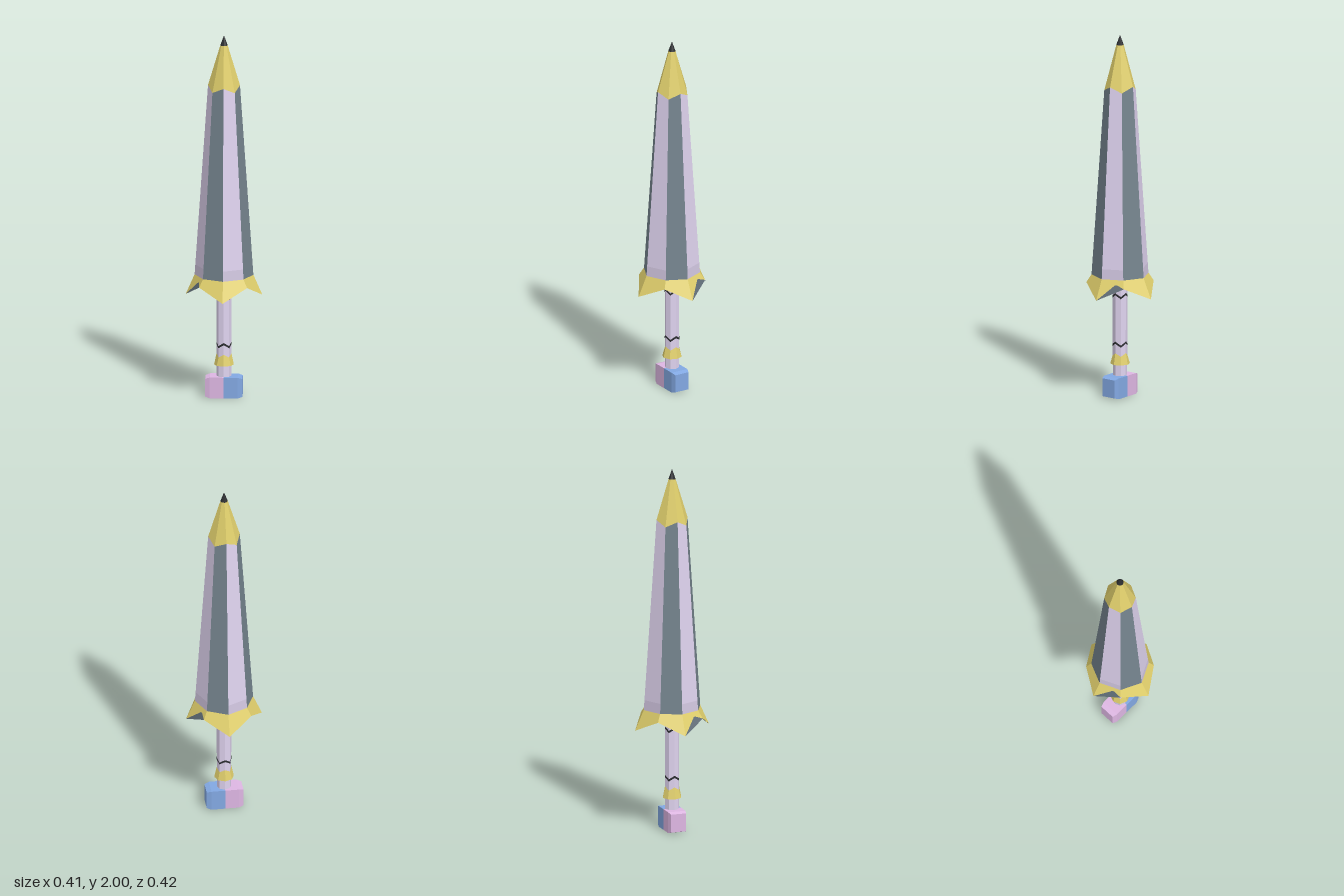
import * as THREE from 'three';

const COLORS = {
  lilac: 0xdfd3ef, lilacShade: 0xd2c7e1, slate: 0x75848e, lining: 0x5c6972, gold: 0xe0cf6c,
  black: 0x2b2d30, blue: 0x82a8e2, pink: 0xddb6e2,
};
const SIDES = 8;

function material(color, side = THREE.FrontSide) {
  return new THREE.MeshStandardMaterial({ color: COLORS[color], side });
}

// Eight-sided ring; diagonal corners and the front and back corners may differ
function ring(r, y, diagR = r, diagY = y, frontR = r) {
  return Array.from({ length: SIDES }, (_, i) => {
    const a = (i * Math.PI * 2) / SIDES;
    const rad = i % 2 ? diagR : i % 4 ? r : frontR;
    return new THREE.Vector3(Math.sin(a) * rad, i % 2 ? diagY : y, Math.cos(a) * rad);
  });
}

// Skin through a stack of rings with one flat normal per panel: bottom to top
// faces outward, top to bottom faces inward; "keep" picks the panels
function skin(rings, keep = () => true) {
  const pos = [], nor = [];
  for (let k = 0; k < rings.length - 1; k++) {
    for (let i = 0; i < SIDES; i++) {
      if (!keep(i)) continue;
      const j = (i + 1) % SIDES;
      const [a, b, c, d] = [rings[k][i], rings[k][j], rings[k + 1][j], rings[k + 1][i]];
      const n = c.clone().sub(a).cross(d.clone().sub(b)).normalize();
      for (const v of [a, b, c, a, c, d]) {
        pos.push(...v);
        nor.push(...n);
      }
    }
  }
  const g = new THREE.BufferGeometry();
  g.setAttribute('position', new THREE.Float32BufferAttribute(pos, 3));
  g.setAttribute('normal', new THREE.Float32BufferAttribute(nor, 3));
  return g;
}

function add(parent, name, geometry, mat) {
  const mesh = new THREE.Mesh(geometry, mat);
  mesh.name = name;
  parent.add(mesh);
}

function buildCanopy() {
  const canopy = new THREE.Group();
  canopy.name = 'foldedCanopy';
  const rim = ring(0.206, 0.565, 0.182, 0.633, 0.212);
  const hem = ring(0.158, 0.675, 0.154, 0.675, 0.162);
  const band = ring(0.1543, 0.73, 0.1503, 0.73, 0.1582);
  const shoulder = ring(0.086, 1.725, 0.085, 1.695, 0.089);
  const neck = ring(0.02, 1.945);
  const even = (i) => i % 2 === 0;
  const odd = (i) => i % 2 === 1;

  add(canopy, 'lilacHemBand', skin([hem, band], even), material('lilacShade'));
  add(canopy, 'lilacPanels', skin([band, shoulder], even), material('lilac'));
  add(canopy, 'slatePanels', skin([hem, band, shoulder], odd), material('slate'));
  add(canopy, 'hemTrim', skin([rim, hem]), material('gold', THREE.DoubleSide));
  add(canopy, 'topCap', skin([shoulder, neck]), material('gold'));
  add(canopy, 'tip', skin([neck, ring(0, 2)]), material('black'));

  // Hollow underside, set in a little from the trim
  add(canopy, 'lining', skin([ring(0.03, 0.69), ring(0.146, 0.67), rim]),
    material('lining', THREE.DoubleSide));
  return canopy;
}

function buildShaft() {
  const shaft = new THREE.Group();
  shaft.name = 'shaft';
  add(shaft, 'rod', skin([ring(0.039, 0.1), ring(0.04, 0.7)]), material('lilac'));
  // Zigzag stripes
  for (const y of [0.293, 0.562]) {
    add(shaft, 'zigzagStripe',
      skin([ring(0.0415, y, 0.0415, y - 0.02), ring(0.0415, y + 0.012, 0.0415, y - 0.008)]),
      material('black', THREE.DoubleSide));
  }
  // Flared collar with a slightly hollow underside
  const collarRim = ring(0.053, 0.177);
  add(shaft, 'collar', skin([collarRim, ring(0.04, 0.24, 0.04, 0.222)]),
    material('gold', THREE.DoubleSide));
  add(shaft, 'collarUnderside', skin([ring(0.035, 0.19), collarRim]),
    material('lining', THREE.DoubleSide));
  // Sliding ring under the canopy
  add(shaft, 'runner', skin([ring(0.035, 0.655), ring(0.07, 0.655), ring(0.07, 0.69)]),
    material('slate', THREE.DoubleSide));
  return shaft;
}

// Half of the grip block, its outer end tapering in
function gripHalf(side) {
  const g = new THREE.BoxGeometry(0.1, 0.115, 0.1, 2, 1, 1).toNonIndexed();
  const p = g.attributes.position;
  for (let i = 0; i < p.count; i++) {
    const x = p.getX(i) * side;
    if (Math.abs(x) < 0.001) p.setX(i, side * 0.025);
    if (x > 0.04) {
      p.setY(i, p.getY(i) - Math.sign(p.getY(i)) * 0.008);
      p.setZ(i, p.getZ(i) - Math.sign(p.getZ(i)) * 0.008);
    }
  }
  g.translate(side * 0.05, 0.0575, 0);
  g.computeVertexNormals();
  return g;
}

export function createModel() {
  const model = new THREE.Group();
  model.name = 'closedUmbrella';
  model.add(buildCanopy(), buildShaft());

  const grip = new THREE.Group();
  grip.name = 'grip';
  add(grip, 'gripLeft', gripHalf(1), material('blue'));
  add(grip, 'gripRight', gripHalf(-1), material('pink'));
  model.add(grip);
  return model;
}
